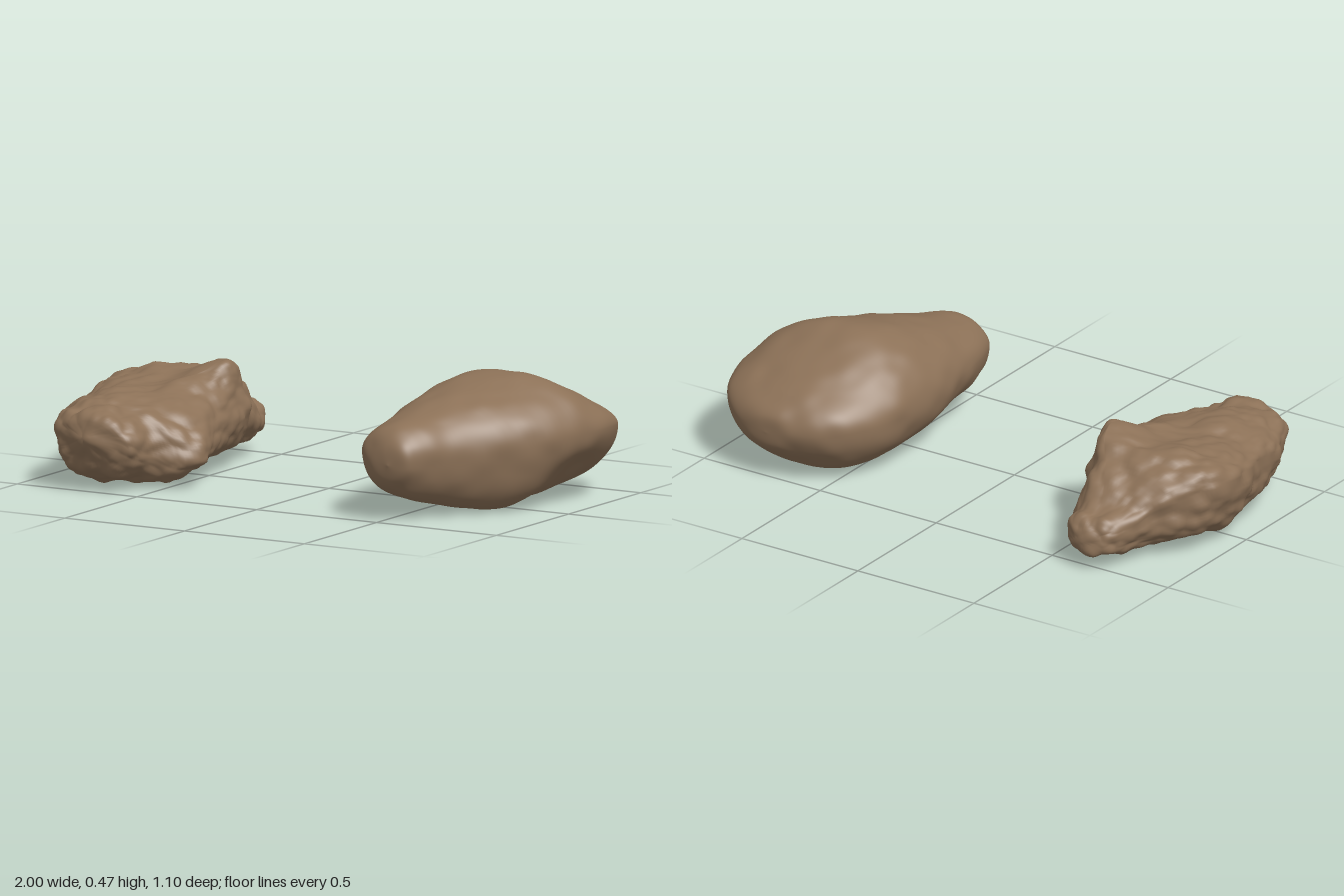
import * as THREE from 'three';

// Repeatable hash, smooth value noise and cell distance
const hash = (x, y, z) => {
  const s = Math.sin(x * 127.1 + y * 311.7 + z * 74.7) * 43758.5453;
  return s - Math.floor(s);
};
const lerp = THREE.MathUtils.lerp;
function noise(x, y, z) {
  const i = Math.floor(x), j = Math.floor(y), k = Math.floor(z);
  const s = t => t * t * (3 - 2 * t);
  const u = s(x - i), v = s(y - j), w = s(z - k);
  const edge = (b, c) => lerp(hash(i, j + b, k + c), hash(i + 1, j + b, k + c), u);
  return lerp(lerp(edge(0, 0), edge(1, 0), v), lerp(edge(0, 1), edge(1, 1), v), w) - 0.5;
}
function cell(x, y, z) {
  let best = 9;
  for (let a = -1; a < 2; a++) for (let b = -1; b < 2; b++) for (let c = -1; c < 2; c++) {
    const i = Math.floor(x) + a, j = Math.floor(y) + b, k = Math.floor(z) + c;
    best = Math.min(best, Math.hypot(
      i + hash(i, j, k) - x, j + hash(j + 9, k, i) - y, k + hash(k + 5, i, j + 3) - z));
  }
  return 0.55 - best;
}
// Soft spot for hollows and swells: distances are scaled by the radii rx, ry, rz
const spot = (dx, dy, dz, rx, ry, rz) =>
  Math.exp(-((dx / rx) ** 2 + (dy / ry) ** 2 + (dz / rz) ** 2));

// Catmull-Rom value of one column of the section rows
function sample(rows, t, col) {
  const n = rows.length - 1, i = Math.min(Math.floor(t), n - 1), f = t - i;
  const p = k => rows[THREE.MathUtils.clamp(k, 0, n)][col];
  const a = p(i - 1), b = p(i), c = p(i + 1), d = p(i + 2);
  return b + 0.5 * f * (c - a + f * (2 * a - 5 * b + 4 * c - d + f * (3 * (b - c) + d - a)));
}

// Loft through sections [z, leftX, leftY, topX, topY, rightX, rightY, bottomX, bottomY],
// with one roundness exponent for each quarter, then push the skin along its normals
function makeRock(rows, powers, relief) {
  const R = 100, S = 128, pos = [], index = [];
  const at = (i, j) => i === 0 ? 0 : i === R ? 1 + (R - 1) * S : 1 + (i - 1) * S + (j % S);
  for (let i = 0; i <= R; i++) {
    const t = (i / R) * (rows.length - 1);
    const r = rows[0].map((_, c) => sample(rows, t, c));
    for (let j = 0; j < (i % R ? S : 1); j++) {
      const q = Math.floor(j / (S / 4)), a = (j / (S / 4) - q) * Math.PI / 2;
      const c = Math.pow(Math.cos(a), powers[q]), s = Math.pow(Math.sin(a), powers[q]);
      const A = 1 + q * 2, B = 1 + ((q + 1) % 4) * 2;
      // Side points fix the height of the corner, top and bottom points fix its x
      const [side, cap, cs, cc] = q % 2 ? [B, A, s, c] : [A, B, c, s];
      pos.push(r[cap] + (r[side] - r[cap]) * cs,
        r[side + 1] + (r[cap + 1] - r[side + 1]) * cc, r[0]);
    }
  }
  for (let i = 0; i < R; i++) for (let j = 0; j < S; j++) {
    const a = at(i, j), b = at(i + 1, j), c = at(i, j + 1), d = at(i + 1, j + 1);
    if (i > 0) index.push(a, b, c);
    if (i < R - 1) index.push(c, b, d);
  }
  const g = new THREE.BufferGeometry();
  g.setAttribute('position', new THREE.Float32BufferAttribute(pos, 3));
  g.setIndex(index);
  g.computeVertexNormals();
  const P = g.attributes.position, N = g.attributes.normal;
  for (let i = 0; i < P.count; i++) {
    const x = P.getX(i), y = P.getY(i), z = P.getZ(i), h = relief(x, y, z);
    P.setXYZ(i, x + N.getX(i) * h, Math.max(0, y + N.getY(i) * h), z + N.getZ(i) * h);
  }
  g.computeVertexNormals();
  return g;
}

// Sections run from the back tip to the front tip
const SMOOTH = [
  [-0.54, 0.71, 0.19, 0.71, 0.19, 0.71, 0.19, 0.71, 0.19],
  [-0.53, 0.61, 0.19, 0.70, 0.25, 0.80, 0.20, 0.70, 0.13],
  [-0.48, 0.49, 0.20, 0.69, 0.30, 0.90, 0.23, 0.68, 0.08],
  [-0.40, 0.41, 0.21, 0.68, 0.35, 0.96, 0.26, 0.64, 0.03],
  [-0.25, 0.345, 0.22, 0.65, 0.425, 0.995, 0.27, 0.58, 0.00],
  [-0.10, 0.325, 0.22, 0.63, 0.475, 0.97, 0.26, 0.62, 0.00],
  [0.10, 0.325, 0.23, 0.59, 0.43, 0.88, 0.24, 0.70, 0.01],
  [0.30, 0.36, 0.24, 0.56, 0.375, 0.73, 0.22, 0.60, 0.045],
  [0.40, 0.385, 0.24, 0.54, 0.35, 0.67, 0.22, 0.56, 0.075],
  [0.45, 0.415, 0.24, 0.54, 0.325, 0.64, 0.21, 0.54, 0.105],
  [0.485, 0.47, 0.22, 0.54, 0.28, 0.61, 0.21, 0.54, 0.15],
  [0.50, 0.545, 0.21, 0.545, 0.21, 0.545, 0.21, 0.545, 0.21],
];
const ROUGH = [
  [-0.545, -0.66, 0.11, -0.66, 0.11, -0.66, 0.11, -0.66, 0.11],
  [-0.535, -0.73, 0.12, -0.66, 0.16, -0.60, 0.11, -0.66, 0.06],
  [-0.50, -0.77, 0.13, -0.66, 0.20, -0.56, 0.11, -0.67, 0.045],
  [-0.42, -0.81, 0.16, -0.66, 0.23, -0.53, 0.13, -0.68, 0.03],
  [-0.32, -0.88, 0.21, -0.61, 0.31, -0.51, 0.17, -0.71, 0.02],
  [-0.22, -0.95, 0.25, -0.54, 0.385, -0.465, 0.21, -0.74, 0.015],
  [-0.12, -0.985, 0.26, -0.53, 0.395, -0.45, 0.20, -0.75, 0.015],
  [0.00, -0.99, 0.255, -0.60, 0.36, -0.43, 0.16, -0.75, 0.015],
  [0.12, -0.97, 0.24, -0.68, 0.34, -0.395, 0.14, -0.73, 0.015],
  [0.25, -0.94, 0.22, -0.71, 0.33, -0.36, 0.11, -0.69, 0.015],
  [0.33, -0.92, 0.21, -0.72, 0.32, -0.405, 0.11, -0.69, 0.02],
  [0.38, -0.90, 0.20, -0.72, 0.31, -0.49, 0.14, -0.70, 0.025],
  [0.46, -0.87, 0.20, -0.71, 0.30, -0.51, 0.16, -0.69, 0.045],
  [0.52, -0.82, 0.19, -0.70, 0.27, -0.55, 0.18, -0.69, 0.10],
  [0.54, -0.70, 0.20, -0.70, 0.20, -0.70, 0.20, -0.70, 0.20],
];

export function createModel() {
  const stone = new THREE.MeshStandardMaterial({ color: 0x8c7157 });
  stone.name = 'brownStone';
  const group = new THREE.Group();
  group.name = 'rocks';
  const add = (name, geometry) => {
    const mesh = new THREE.Mesh(geometry, stone);
    mesh.name = name;
    group.add(mesh);
  };

  // Worn boulder with soft dents, a hollow low on the outer flank and a swell in front of it
  add('smoothBoulder', makeRock(SMOOTH, [1.03, 0.97, 1, 1], (x, y, z) =>
    0.014 * noise(x * 6, y * 7, z * 6) + 0.008 * noise(x * 15, y * 15, z * 13)
    - 0.03 * spot(x - 0.91, y - 0.13, z + 0.18, 0.12, 0.08, 0.14)
    + 0.014 * spot(x - 0.82, y - 0.06, z - 0.07, 0.1, 0.08, 0.1)));

  // Craggy boulder with lumps, creases, a groove beside its ridge and a sunken shoulder
  add('craggyBoulder', makeRock(ROUGH, [0.86, 1.05, 0.85, 0.7], (x, y, z) =>
    0.032 * cell(x * 7, y * 8, z * 6) + 0.014 * cell(x * 17, y * 18, z * 15)
    + 0.016 * noise(x * 9, y * 9, z * 7) + 0.008 * noise(x * 30, y * 30, z * 30) - 0.009
    - 0.022 * spot(x + 0.68, y - 0.38, z + 0.12, 0.08, 0.06, 0.2)
    - 0.022 * spot(x + 0.84, y - 0.36, z + 0.05, 0.1, 0.08, 0.2)));
  return group;
}
